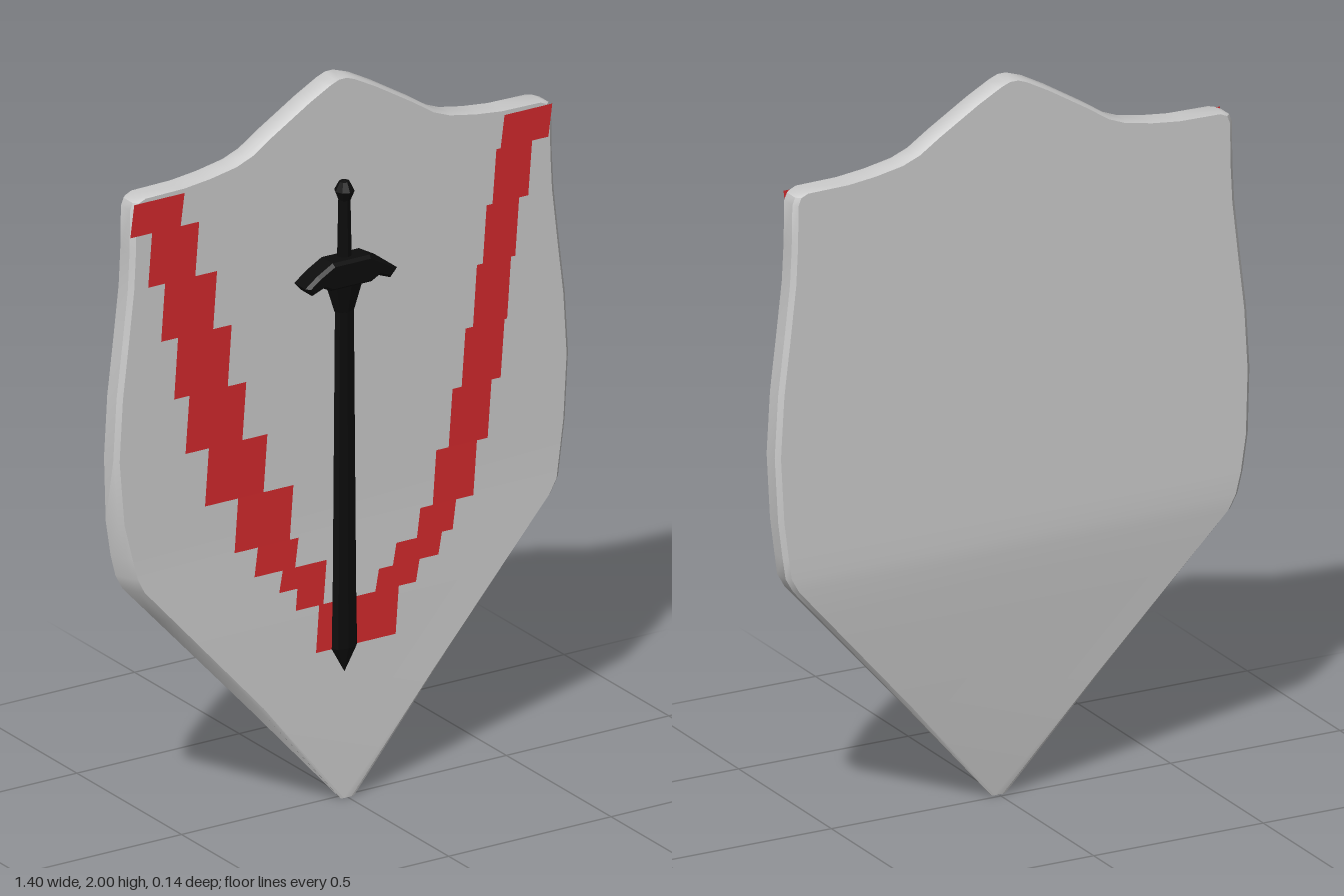
import * as THREE from 'three';
import { toCreasedNormals } from 'three/addons/utils/BufferGeometryUtils.js';

const { lerp, clamp } = THREE.MathUtils;
const grey = new THREE.MeshStandardMaterial({ color: 0xcccccc });
const red = new THREE.MeshStandardMaterial({ color: 0xd42a2d, side: THREE.DoubleSide });
const black = new THREE.MeshStandardMaterial({ color: 0x0c0c0c, flatShading: true });

// Depth of the shield's front and back; both run together towards the tip
const frontZ = y => lerp(0.018, -0.004, clamp(y / 0.8, 0, 1));
const backZ = y => lerp(0.012, -0.072, clamp(y / 0.72, 0, 1));

// Shield outline from top to tip: [y, left edge, right edge]
const outline = [
  [2, -0.02, 0.02], [1.99, -0.05, 0.05], [1.955, -0.115, 0.115], [1.885, -0.23, 0.23],
  [1.845, -0.29, 0.29], [1.825, -0.34, 0.34], [1.81, -0.42, 0.42], [1.801, -0.5, 0.5],
  [1.799, -0.62, 0.62], [1.79, -0.64, 0.64], [1.77, -0.648, 0.648], [1.65, -0.65, 0.65],
  [1.55, -0.655, 0.655], [1.4, -0.672, 0.672], [1.25, -0.69, 0.69], [1.08, -0.7, 0.7],
  [0.9, -0.695, 0.69], [0.8, -0.68, 0.677], [0.74, -0.665, 0.668], [0.7, -0.645, 0.645],
  [0.6, -0.555, 0.555], [0.3, -0.285, 0.285], [0, -0.02, 0.02],
];

// Shield: bevelled cross-sections joined row by row
function shieldGeometry() {
  const pos = [], index = [], n = 8;
  for (const [y, l, r] of outline) {
    const f = frontZ(y), k = backZ(y);
    const bx = Math.min(0.012, (r - l) / 5), bz = Math.min(0.012, (f - k) / 4);
    // the front face is slightly narrower along the lower left edge
    const cut = 0.02 * Math.min(clamp((1 - y) / 0.2, 0, 1), clamp(y / 0.3, 0, 1));
    const section = [
      [l + cut + bx, f], [r - bx, f], [r, f - bz], [r, k + bz],
      [r - bx, k], [l + bx, k], [l, k + bz], [l + cut, f - bz],
    ];
    for (const [x, z] of section) pos.push(x, y, z);
  }
  const last = (outline.length - 1) * n;
  for (let i = 0; i < last; i += n) {
    for (let j = 0; j < n; j++) {
      const a = i + j, b = i + (j + 1) % n;
      index.push(a + n, b + n, b, a + n, b, a);
    }
  }
  for (let j = 1; j < n - 1; j++) index.push(0, j, j + 1, last, last + j + 1, last + j);
  const g = new THREE.BufferGeometry();
  g.setAttribute('position', new THREE.Float32BufferAttribute(pos, 3));
  g.setIndex(index);
  return toCreasedNormals(g, 0.6);
}

// Stepped stripes: [top, bottom, inner/outer x range]
const leftSteps = [
  [1.79, 1.7, -0.645, -0.49], [1.7, 1.55, -0.59, -0.445], [1.55, 1.39, -0.55, -0.39],
  [1.39, 1.22, -0.51, -0.345], [1.22, 1.06, -0.475, -0.3], [1.06, 0.9, -0.415, -0.235],
  [0.9, 0.75, -0.325, -0.155], [0.75, 0.67, -0.265, -0.14], [0.67, 0.55, -0.14, -0.055],
  [0.67, 0.61, -0.19, -0.13], [0.55, 0.42, -0.08, 0.03],
];
const rightSteps = [
  [1.79, 1.7, 0.495, 0.642], [1.7, 1.55, 0.47, 0.58], [1.55, 1.39, 0.44, 0.54],
  [1.39, 1.22, 0.41, 0.515], [1.22, 1.06, 0.375, 0.495], [1.06, 0.9, 0.335, 0.455],
  [0.9, 0.75, 0.285, 0.41], [0.75, 0.67, 0.235, 0.345], [0.67, 0.61, 0.16, 0.3],
  [0.61, 0.55, 0.105, 0.23], [0.55, 0.42, 0.02, 0.165],
];

function stripeGeometry(steps) {
  const pos = [], index = [];
  for (const [top, bottom, l, r] of steps) {
    const i = pos.length / 3, skew = 0.012, zt = frontZ(top) + 0.003, zb = frontZ(bottom) + 0.003;
    pos.push(l - skew, bottom, zb, r - skew, bottom, zb, r, top, zt, l, top, zt);
    index.push(i, i + 1, i + 2, i, i + 2, i + 3);
  }
  const g = new THREE.BufferGeometry();
  g.setAttribute('position', new THREE.Float32BufferAttribute(pos, 3));
  g.setIndex(index);
  g.computeVertexNormals();
  return g;
}

// Faceted turned part, flattened in depth
function turned(points, sides, depth) {
  const g = new THREE.LatheGeometry(points.map(p => new THREE.Vector2(...p)), sides);
  return g.scale(1, 1, depth);
}

// Crossguard with drooping arms
function guardGeometry() {
  const half = [[0, 1.515], [0.055, 1.515], [0.1, 1.49], [0.13, 1.468], [0.118, 1.455], [0.085, 1.468], [0.06, 1.455], [0, 1.455]];
  const mirrored = half.slice(1, -1).reverse().map(([x, y]) => [-x, y]);
  const shape = new THREE.Shape([...half, ...mirrored].map(p => new THREE.Vector2(...p)));
  return new THREE.ExtrudeGeometry(shape, {
    depth: 0.052, bevelEnabled: true, bevelSize: 0.008, bevelThickness: 0.01, bevelSegments: 1,
  }).translate(0, 0, -0.026);
}

export function createModel() {
  const model = new THREE.Group();
  const add = (parent, name, geometry, material) => {
    const mesh = new THREE.Mesh(geometry, material);
    mesh.name = name;
    parent.add(mesh);
    return mesh;
  };

  add(model, 'shieldBody', shieldGeometry(), grey);
  add(model, 'rightStripe', stripeGeometry(leftSteps), red);
  add(model, 'leftStripe', stripeGeometry(rightSteps), red);

  // Sword mounted on the front
  const sword = new THREE.Group();
  sword.name = 'sword';
  sword.position.set(-0.018, 0, 0.03);
  model.add(sword);
  add(sword, 'blade', turned([[0, 0.36], [0.039, 0.43], [0.036, 0.6], [0.029, 1.4], [0, 1.4]], 8, 0.5), black);
  add(sword, 'collar', turned([[0, 1.36], [0.03, 1.37], [0.06, 1.46], [0, 1.46]], 8, 0.6), black);
  add(sword, 'crossguard', guardGeometry(), black).position.z = 0.006;
  add(sword, 'grip', turned([[0.021, 1.5], [0.017, 1.69]], 8, 0.85), black);
  add(sword, 'pommel', turned([[0, 1.67], [0.017, 1.68], [0.027, 1.705], [0.014, 1.73], [0, 1.735]], 8, 1), black);
  return model;
}
